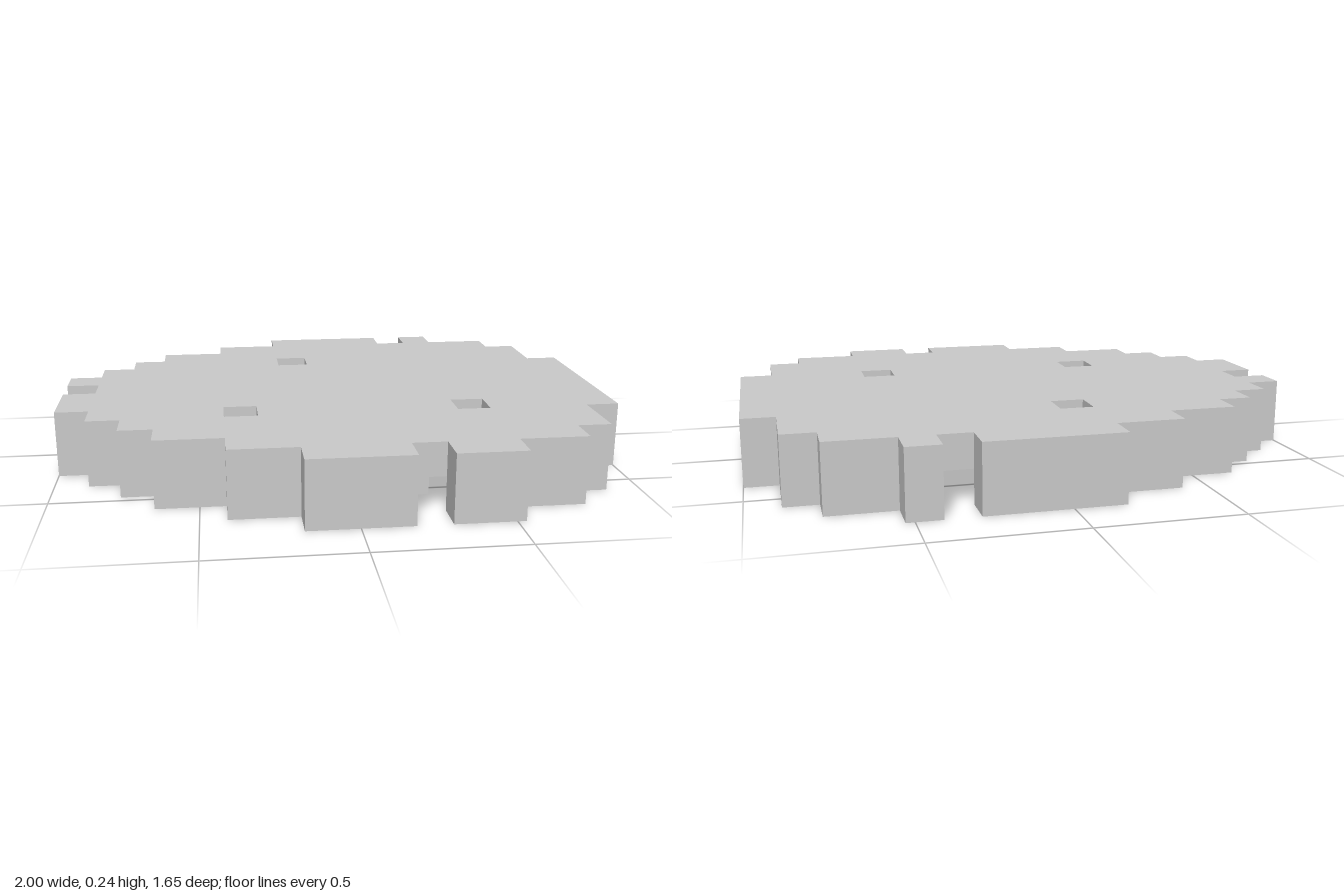
import * as THREE from 'three';

const CELL = 2 / 17, COLS = 17, ROWS = 14;

// First and last column of each row; the back half mirrors the front half
const half = [[7, 13], [5, 15], [3, 16], [2, 16], [1, 17], [0, 17], [0, 17]];
const spans = [...half, ...[...half].reverse()];

// Missing cells as [column, row]: three rim notches and three through holes
const gaps = [[11, 0], [0, 6], [10, 13], [7, 3], [5, 9], [12, 9]];

const inOutline = (c, r) => r >= 0 && r < ROWS && c >= spans[r][0] && c < spans[r][1];
const isGap = (c, r) => gaps.some(([gc, gr]) => gc === c && gr === r);
const inSlab = (c, r) => inOutline(c, r) && !isGap(c, r);

// Rim cells touch the outside of the outline, also diagonally
const inRim = (c, r) => {
  if (!inSlab(c, r)) return false;
  for (let dc = -1; dc <= 1; dc++)
    for (let dr = -1; dr <= 1; dr++)
      if (!inOutline(c + dc, r + dr)) return true;
  return false;
};

// Follow the borders of a set of cells and return them as closed corner loops
function traceLoops(filled) {
  const next = new Map();
  const edge = (c0, r0, c1, r1) => next.set(`${c0},${r0}`, [c1, r1]);
  for (let r = 0; r < ROWS; r++)
    for (let c = 0; c < COLS; c++) {
      if (!filled(c, r)) continue;
      if (!filled(c, r + 1)) edge(c, r + 1, c + 1, r + 1);
      if (!filled(c + 1, r)) edge(c + 1, r + 1, c + 1, r);
      if (!filled(c, r - 1)) edge(c + 1, r, c, r);
      if (!filled(c - 1, r)) edge(c, r, c, r + 1);
    }
  const loops = [];
  while (next.size) {
    const loop = [];
    let key = next.keys().next().value;
    while (next.has(key)) {
      const p = next.get(key);
      next.delete(key);
      loop.push(p);
      key = p.join(',');
    }
    // Keep only the real corners
    const corners = loop.filter((p, i) => {
      const a = loop[(i + loop.length - 1) % loop.length], b = loop[(i + 1) % loop.length];
      return a[0] !== b[0] && a[1] !== b[1];
    });
    loops.push(corners.map(([c, r]) => new THREE.Vector2(c * CELL - 1, (ROWS / 2 - r) * CELL)));
  }
  return loops;
}

// Extrude a set of cells upward by one cell
function cellPlate(filled) {
  const loops = traceLoops(filled);
  const shapes = loops.filter((l) => THREE.ShapeUtils.area(l) > 0).map((l) => new THREE.Shape(l));
  const holes = loops.filter((l) => THREE.ShapeUtils.area(l) < 0);
  shapes[0].holes = holes.map((l) => new THREE.Path(l));
  const geometry = new THREE.ExtrudeGeometry(shapes, { depth: CELL, bevelEnabled: false });
  return geometry.rotateX(-Math.PI / 2);
}

export function createModel() {
  const model = new THREE.Group();
  model.name = 'steppedDisc';
  const material = new THREE.MeshStandardMaterial({ color: 0xcccccc, flatShading: true });
  const add = (name, geometry, x = 0, y = 0, z = 0) => {
    const mesh = new THREE.Mesh(geometry, material);
    mesh.name = name;
    mesh.position.set(x, y, z);
    model.add(mesh);
  };

  // Top plate with the holes, and the notched rim hanging below it
  add('topPlate', cellPlate(inSlab), 0, CELL, 0);
  add('rim', cellPlate(inRim));

  // Crossed ribs and the eight-sided hub in the hollow underside
  const ribY = CELL * 0.75;
  add('longRib', new THREE.BoxGeometry(15 * CELL, CELL / 2, 2 * CELL), 0, ribY, 0);
  add('crossRib', new THREE.BoxGeometry(2 * CELL, CELL / 2, 12 * CELL), CELL, ribY, 0);
  add('hub', new THREE.CylinderGeometry(0.26, 0.26, CELL, 8), CELL, CELL / 2, 0);

  return model;
}
